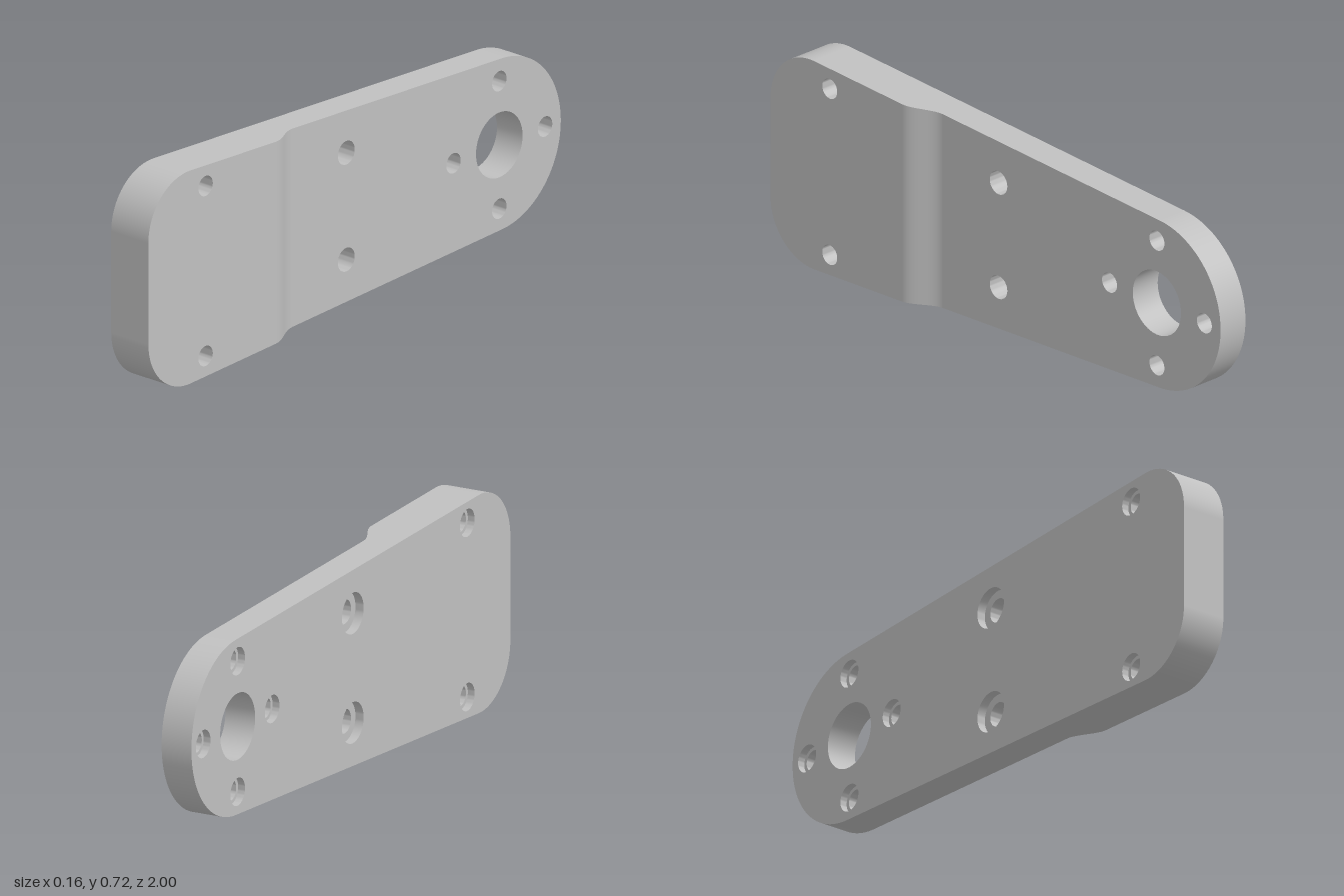
import * as THREE from 'three';
import { toCreasedNormals } from 'three/addons/utils/BufferGeometryUtils.js';

const MID = 0.361, BACK = -0.079, THIN = 0.03, THICK = 0.079;
const STEP0 = 0.265, STEP1 = 0.4, TAPER = 0.0467;

// Front surface height: thin plate blending smoothly into the thick end
function frontX(z) {
  const t = THREE.MathUtils.clamp((z - STEP0) / (STEP1 - STEP0), 0, 1);
  return THIN + (THICK - THIN) * t * t * (3 - 2 * t);
}

// Upper half of the outline, from the square end to the round end (y about the centre line)
function upperOutline() {
  const arc = (cz, cy, r, a0, a1, n) => Array.from({ length: n + 1 }, (_, i) => {
    const a = a0 + (a1 - a0) * i / n;
    return { z: cz + r * Math.cos(a), y: cy + r * Math.sin(a), a };
  });
  const tangent = Math.PI / 2 + TAPER;
  const corner = arc(0.81, 0.171, 0.19, 0, tangent, 20);
  const round = arc(-0.71, 0, 0.29, tangent, Math.PI, 32);
  const p = corner[corner.length - 1], q = round[0];
  const taper = [];
  for (let i = 0; i <= 16; i++) {
    const z = STEP1 + (STEP0 - STEP1) * i / 16;
    taper.push({ z, y: p.y + (q.y - p.y) * (z - p.z) / (q.z - p.z), a: tangent });
  }
  return [...corner, ...taper, ...round];
}

const mirrored = (pts) => pts.map(({ z, y, a }) => ({ z, y: -y, a: -a })).reverse();

// Flat face in the z-y plane, facing +x (side 1) or -x (side -1)
function face(pts, holes, x, side) {
  const shape = new THREE.Shape(pts.map((p) => new THREE.Vector2(-side * p.z, MID + p.y)));
  for (const h of holes) {
    const path = new THREE.Path();
    path.absarc(-side * h.z, MID + h.y, side > 0 ? h.r : h.bore, 0, Math.PI * 2, true);
    shape.holes.push(path);
  }
  return new THREE.ShapeGeometry(shape, 24).rotateY(side * Math.PI / 2).translate(x, 0, 0);
}

// Strip of quads between two rows of equal length
function strip(rowA, rowB, normals, closed) {
  const pos = [], nor = [], idx = [], n = rowA.length;
  rowA.forEach((p, i) => {
    pos.push(...p, ...rowB[i]);
    nor.push(...normals[i], ...normals[i]);
  });
  for (let i = 0; i < (closed ? n : n - 1); i++) {
    const a = 2 * i, b = 2 * ((i + 1) % n);
    idx.push(a, a + 1, b, a + 1, b + 1, b);
  }
  const g = new THREE.BufferGeometry();
  g.setAttribute('position', new THREE.Float32BufferAttribute(pos, 3));
  g.setAttribute('normal', new THREE.Float32BufferAttribute(nor, 3));
  g.setIndex(idx);
  return g;
}

export function createModel() {
  const group = new THREE.Group();
  const metal = new THREE.MeshStandardMaterial({ color: 0xc0c0c0 });
  metal.name = 'greyMetal';
  metal.side = THREE.DoubleSide;
  const add = (name, geometry) => {
    const mesh = new THREE.Mesh(geometry, metal);
    mesh.name = name;
    group.add(mesh);
    return mesh;
  };

  // Holes: r is the through radius, bore the counterbore radius on the flat back
  const holes = [{ z: -0.71, y: 0, r: 0.11, bore: 0.11, depth: 0, name: 'shaftHole' }];
  for (const s of [-1, 1]) {
    const small = { r: 0.034, bore: 0.046, depth: 0.025 };
    holes.push(
      { z: 0.73, y: s * 0.288, ...small, name: 'cornerHole' },
      { z: 0.012, y: s * 0.181, r: 0.04, bore: 0.068, depth: 0.03, name: 'middleHole' },
      { z: -0.71, y: s * 0.216, ...small, name: 'flangeHole' },
      { z: -0.71 + s * 0.216, y: 0, ...small, name: 'flangeHole' });
  }

  const upper = upperOutline();
  const outline = [...upper, ...mirrored(upper).slice(1)];

  // Flat faces
  add('backFace', face(outline, holes, BACK, -1));
  const thick = upper.filter((p) => p.z >= STEP1 - 1e-6);
  const thin = upper.filter((p) => p.z <= STEP0 + 1e-6);
  add('thickFrontFace', face([...thick, ...mirrored(thick)], holes.filter((h) => h.z > STEP1), THICK, 1));
  add('thinFrontFace', face([...thin, ...mirrored(thin).slice(1)], holes.filter((h) => h.z < STEP0), THIN, 1));

  // Curved step between the two thicknesses
  const step = upper.filter((p) => p.z <= STEP1 + 1e-6 && p.z >= STEP0 - 1e-6);
  add('blendedStep', strip(
    step.map((p) => [frontX(p.z), MID + p.y, p.z]),
    step.map((p) => [frontX(p.z), MID - p.y, p.z]),
    step.map((p) => {
      const slope = (frontX(p.z + 1e-4) - frontX(p.z - 1e-4)) / 2e-4;
      return new THREE.Vector3(1, 0, -slope).normalize().toArray();
    }), false)).geometry.index.array.reverse();

  // Rim around the whole plate
  add('outerRim', strip(
    outline.map((p) => [BACK, MID + p.y, p.z]),
    outline.map((p) => [frontX(p.z), MID + p.y, p.z]),
    outline.map((p) => [0, Math.sin(p.a), Math.cos(p.a)]), true));

  // Make winding agree with the stored normals
  for (const name of ['blendedStep', 'outerRim']) {
    const g = group.getObjectByName(name).geometry;
    const v = [0, 1, 2].map((k) => new THREE.Vector3().fromBufferAttribute(g.attributes.position, g.index.getX(k)));
    const n = new THREE.Vector3().fromBufferAttribute(g.attributes.normal, g.index.getX(0));
    const f = v[1].sub(v[0]).cross(v[2].sub(v[0]));
    if (f.dot(n) < 0) g.index.array.reverse();
  }

  // Hole walls, with a ledge where counterbored
  for (const h of holes) {
    const front = frontX(h.z), profile = [new THREE.Vector2(h.r, front)];
    if (h.depth) profile.push(new THREE.Vector2(h.r, BACK + h.depth), new THREE.Vector2(h.bore, BACK + h.depth));
    profile.push(new THREE.Vector2(h.bore, BACK));
    const wall = toCreasedNormals(new THREE.LatheGeometry(profile, 48), 0.6);
    add(h.name, wall.rotateZ(-Math.PI / 2).translate(0, MID + h.y, h.z));
  }
  return group;
}
